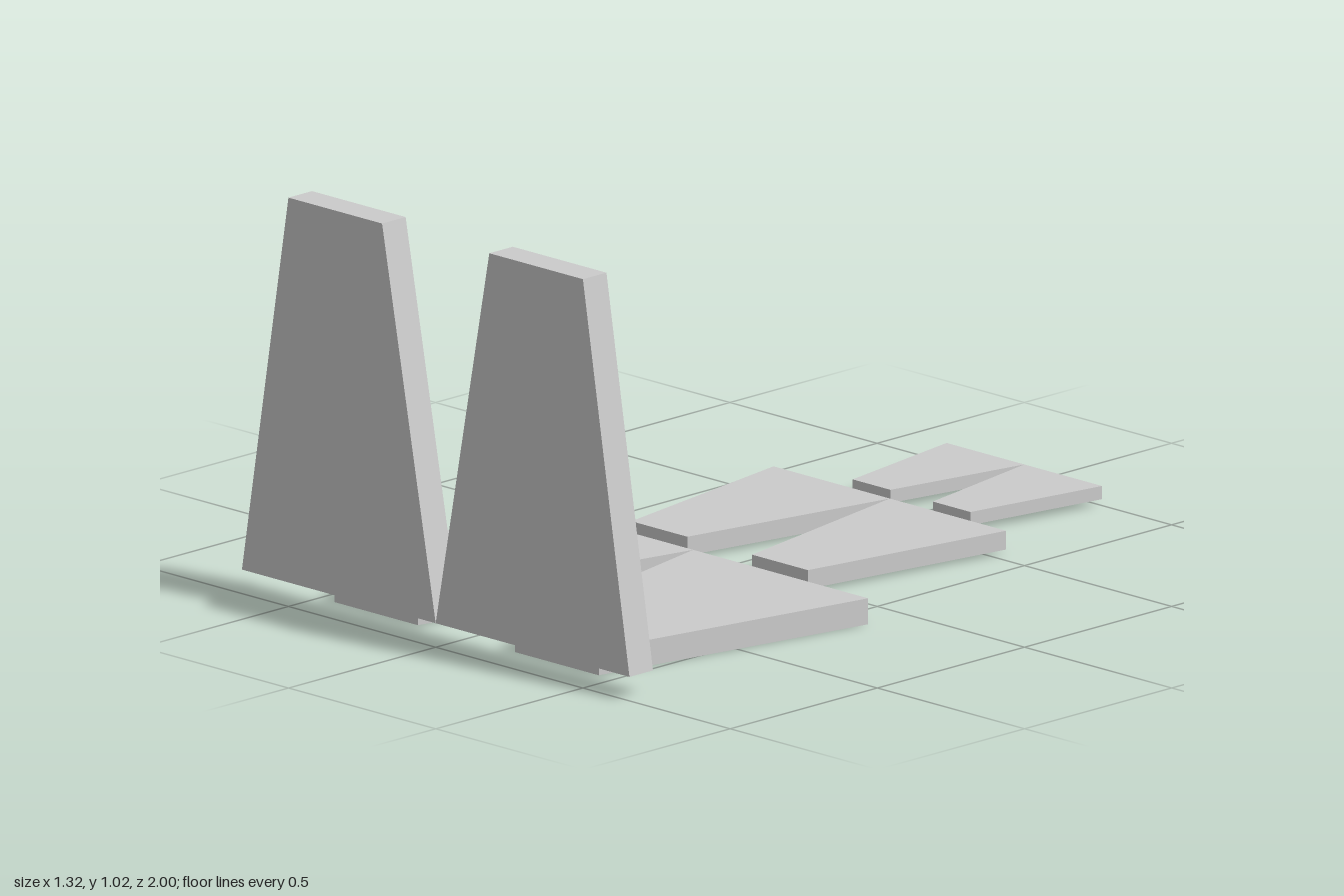
import * as THREE from 'three';

const material = new THREE.MeshStandardMaterial({ color: 0xcccccc, flatShading: true });

// Trapezoid panel: wide edge on y = 0 from the centre line outwards, narrow edge at y = length
function panelGeometry(width, inner, outer, length, thickness, side) {
  const points = [[0, 0], [width, 0], [outer, length], [inner, length]];
  const shape = new THREE.Shape(points.map(([x, y]) => new THREE.Vector2(side * x, y)));
  return new THREE.ExtrudeGeometry(shape, { depth: thickness, bevelEnabled: false });
}

// Mirrored pair of panels touching at the centre line
function panelPair(name, { width, inner, outer, length, thickness }) {
  const pair = new THREE.Group();
  pair.name = name;
  for (const [label, side] of [['left', 1], ['right', -1]]) {
    const mesh = new THREE.Mesh(panelGeometry(width, inner, outer, length, thickness, side), material);
    mesh.name = `${label}Panel`;
    pair.add(mesh);
  }
  return pair;
}

export function createModel() {
  const model = new THREE.Group();
  model.name = 'panelPairs';

  // Upright pair at the front
  const upright = panelPair('uprightPair', { width: 0.658, inner: 0.182, outer: 0.5, length: 0.962, thickness: 0.08 });
  upright.position.set(0, 0.06, 0.92);
  model.add(upright);

  // Flat pairs shrinking towards the back, narrow ends facing front
  const flatPairs = [
    { name: 'largeFlatPair', width: 0.594, inner: 0.165, outer: 0.449, length: 0.77, thickness: 0.065, top: 0.065, back: 0.125 },
    { name: 'mediumFlatPair', width: 0.395, inner: 0.11, outer: 0.3, length: 0.578, thickness: 0.047, top: 0.057, back: -0.543 },
    { name: 'smallFlatPair', width: 0.264, inner: 0.072, outer: 0.2, length: 0.383, thickness: 0.033, top: 0.049, back: -1 },
  ];
  for (const { name, top, back, ...size } of flatPairs) {
    const pair = panelPair(name, size);
    pair.rotation.x = Math.PI / 2;
    pair.position.set(0, top, back);
    model.add(pair);
  }
  return model;
}
